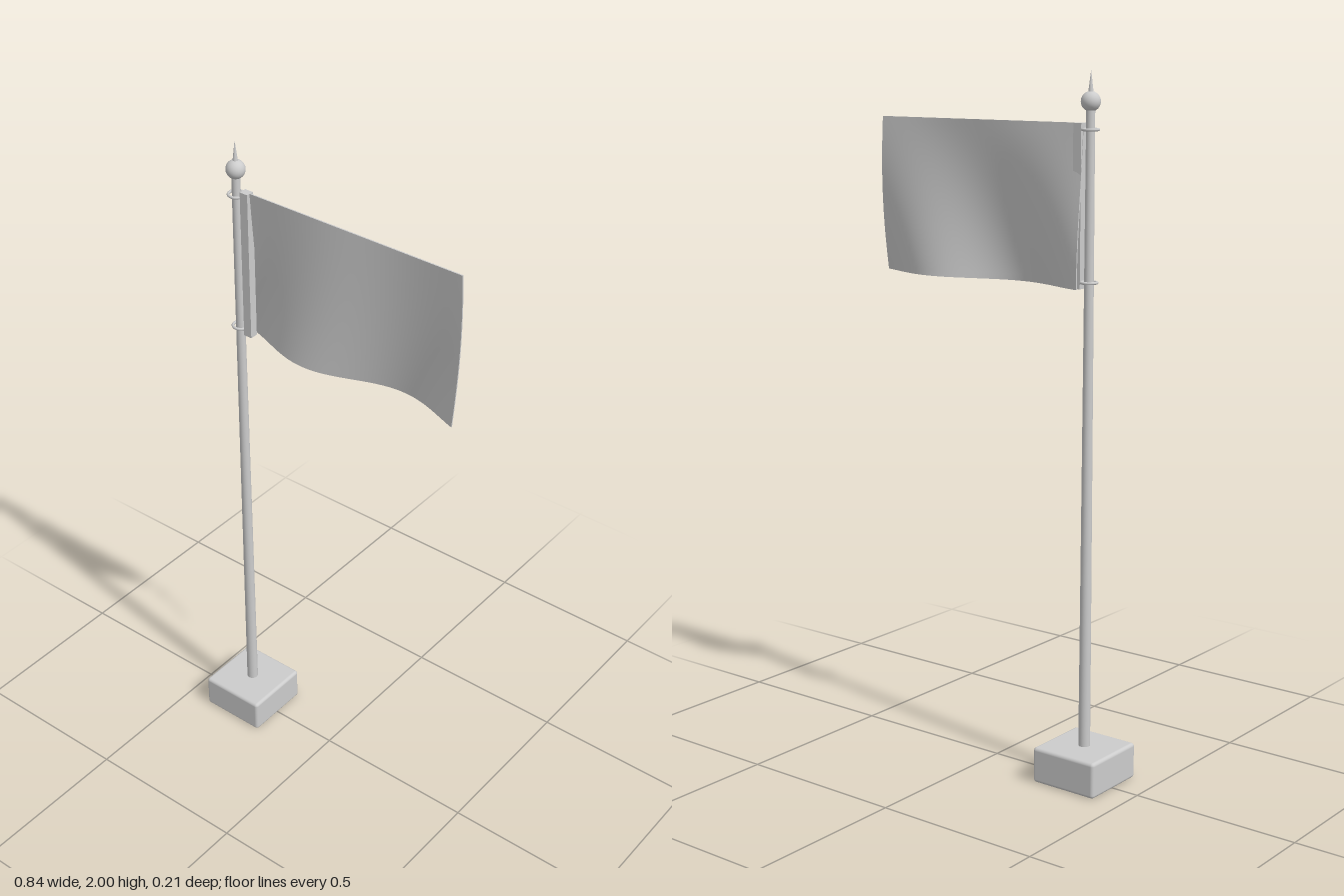
import * as THREE from 'three';
import { RoundedBoxGeometry } from 'three/addons/geometries/RoundedBoxGeometry.js';

const POLE_X = -0.316;

export function createModel() {
  const model = new THREE.Group();
  const grey = new THREE.MeshStandardMaterial({ color: 0xcccccc });
  grey.name = 'light grey';

  const add = (name, geometry, x, y, z = 0) => {
    const mesh = new THREE.Mesh(geometry, grey);
    mesh.name = name;
    mesh.position.set(x, y, z);
    model.add(mesh);
    return mesh;
  };

  // Base block and tapered pole
  add('base', new RoundedBoxGeometry(0.21, 0.105, 0.21, 3, 0.01), POLE_X, 0.0525);
  add('pole', new THREE.CylinderGeometry(0.012, 0.017, 1.8, 24), POLE_X, 1.0);

  // Finial: ball and spike
  add('finialBall', new THREE.SphereGeometry(0.027, 24, 16), POLE_X, 1.917);
  add('finialSpike', new THREE.ConeGeometry(0.008, 0.065, 16), POLE_X, 1.9675);

  // Rings that tie the sleeve to the pole
  for (const y of [1.843, 1.433]) {
    add('ring', new THREE.TorusGeometry(0.022, 0.004, 8, 24).rotateX(Math.PI / 2), POLE_X, y);
  }

  // Sleeve along the hoist edge
  add('sleeve', new THREE.BoxGeometry(0.026, 0.446, 0.024), -0.281, 1.637);

  // Cloth: a thin slab whose wave grows from the taut top edge to the loose bottom
  const x0 = -0.295, x1 = 0.42, y0 = 1.414, y1 = 1.86;
  const cloth = new THREE.BoxGeometry(x1 - x0, y1 - y0, 0.004, 48, 24, 1);
  cloth.translate((x0 + x1) / 2, (y0 + y1) / 2, 0);
  const p = cloth.attributes.position;
  for (let i = 0; i < p.count; i++) {
    const t = (p.getY(i) - y0) / (y1 - y0);
    const wave = Math.sin((Math.PI * (p.getX(i) + 0.21 - 0.15 * t)) / 0.29);
    p.setZ(i, p.getZ(i) + 0.036 * (1 - t) * wave);
  }
  cloth.computeVertexNormals();
  add('flag', cloth, 0, 0);

  return model;
}
